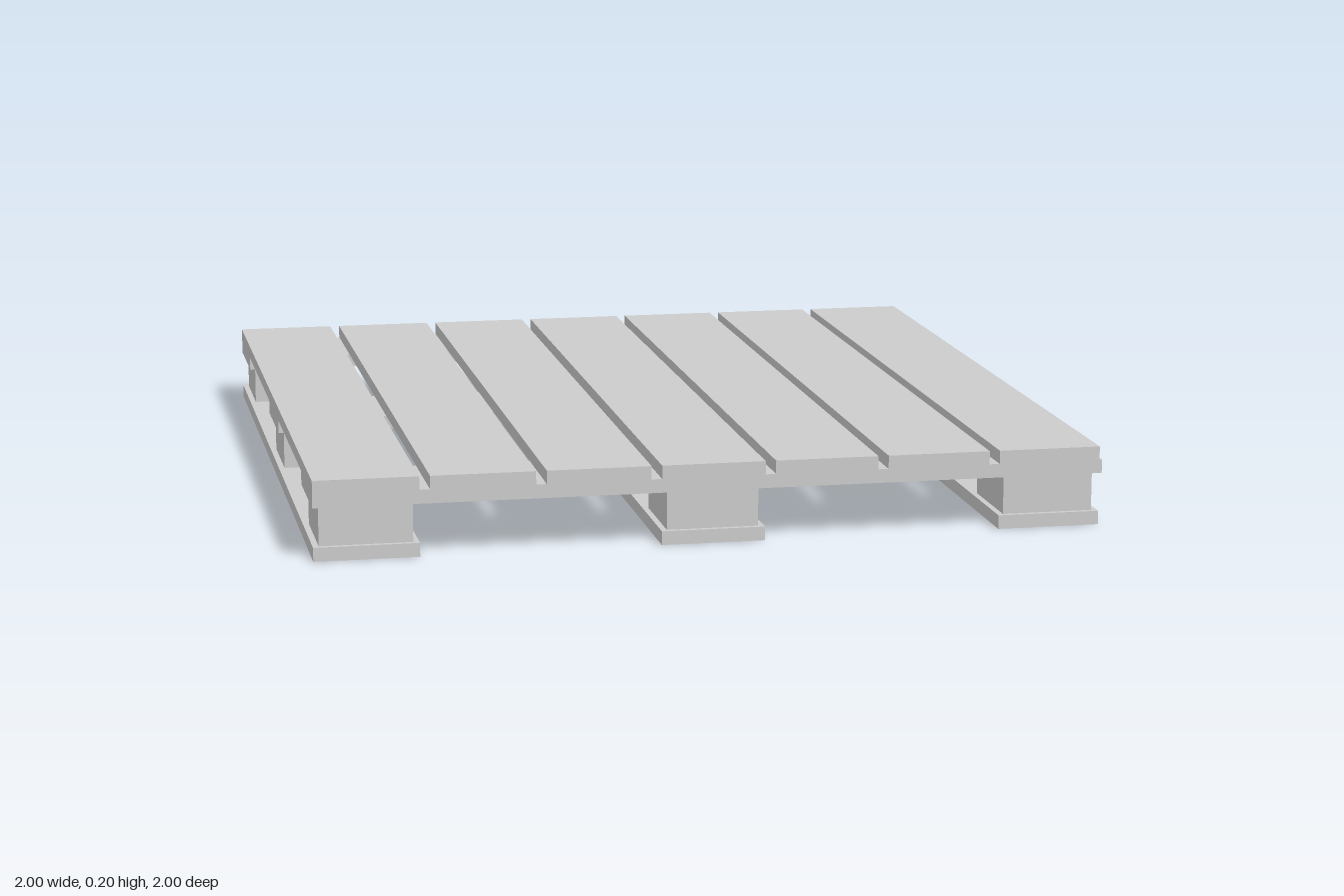
import * as THREE from 'three';

export function createModel() {
  const pallet = new THREE.Group();
  pallet.name = 'pallet';
  const grey = new THREE.MeshStandardMaterial({ color: 0xcccccc });
  grey.name = 'plain grey';

  // Box given by its centre in plan, its plan size and its bottom and top heights
  function plank(name, x, z, width, depth, bottom, top) {
    const mesh = new THREE.Mesh(new THREE.BoxGeometry(width, top - bottom, depth), grey);
    mesh.name = name;
    mesh.position.set(x, (bottom + top) / 2, z);
    pallet.add(mesh);
  }

  const boardWidth = 0.262;
  const blockWidth = 0.232;
  const [runnerTop, blockTop, crossTop, deckTop] = [0.035, 0.133, 0.168, 0.202];
  const columns = [-0.869, -0.004, 0.862];
  const rows = [-0.863, 0.003, 0.868];

  // Bottom runners, front to back
  for (const x of columns) plank('bottomRunner', x, 0, boardWidth, 2, 0, runnerTop);

  // Nine spacer blocks
  for (const x of columns)
    for (const z of rows) plank('spacerBlock', x, z + 0.003, blockWidth, blockWidth, runnerTop, blockTop);

  // Cross boards, side to side
  for (const z of rows) plank('crossBoard', 0, z, 2, boardWidth, blockTop, crossTop);

  // Seven deck boards
  for (let i = 0; i < 7; i++) {
    plank('deckBoard', -0.869 + i * 0.2885, 0, boardWidth, 2, crossTop, deckTop);
  }

  return pallet;
}
